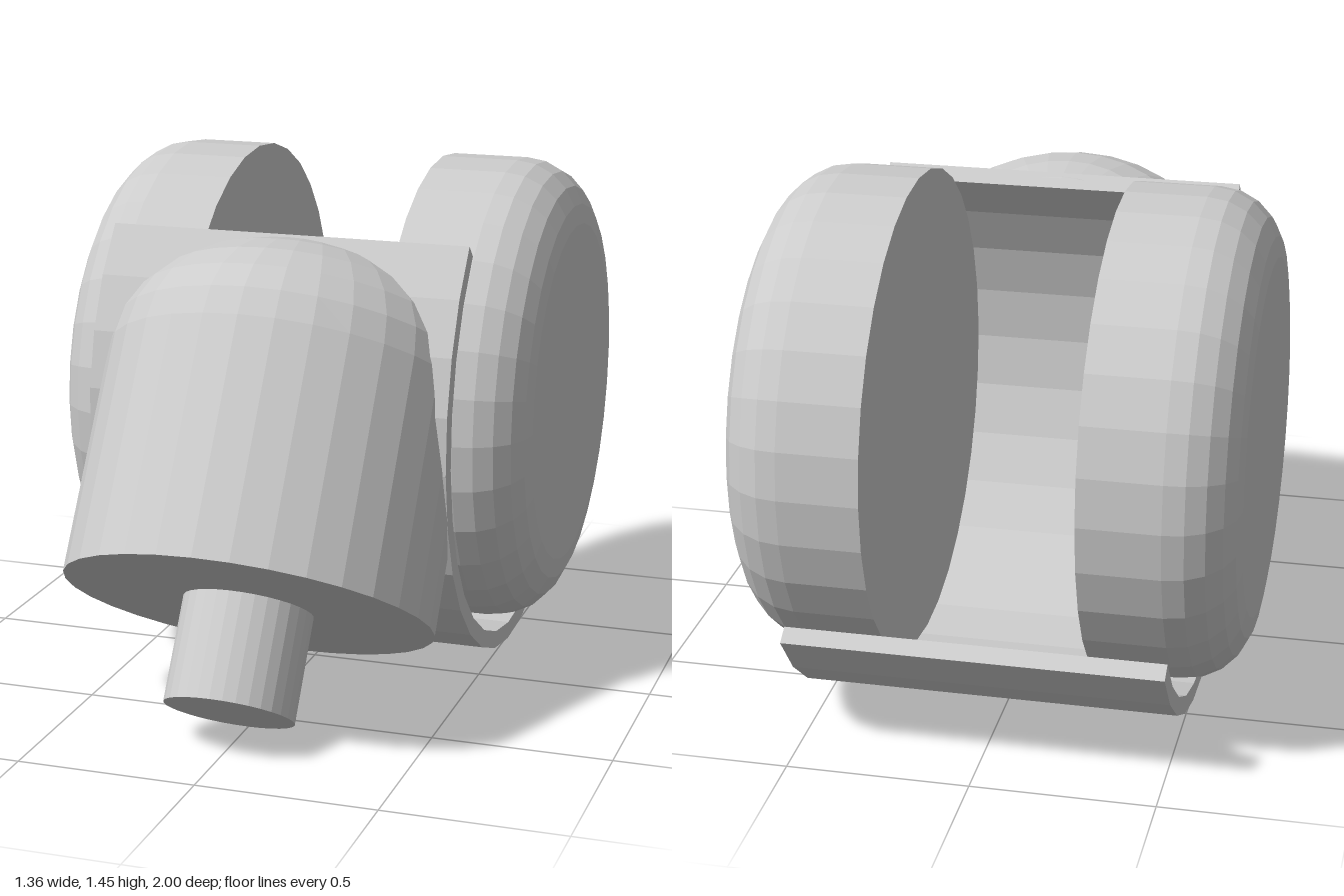
import * as THREE from 'three';

const WHEEL_Y = 0.78, WHEEL_Z = -0.33, WHEEL_R = 0.67;
const TILT = THREE.MathUtils.degToRad(33);
const material = new THREE.MeshStandardMaterial({ color: 0xcccccc, flatShading: true });

function part(name, geometry) {
  const mesh = new THREE.Mesh(geometry, material);
  mesh.name = name;
  return mesh;
}

// Cut away the part of a closed shell lying within `radius` of a line parallel to x
function clipOutsideBore(geometry, y, z, radius) {
  const pos = geometry.toNonIndexed().getAttribute('position');
  const depth = (p) => Math.hypot(p.y - y, p.z - z) - radius;
  const out = [];
  for (let i = 0; i < pos.count; i += 3) {
    const tri = [0, 1, 2].map((k) => new THREE.Vector3().fromBufferAttribute(pos, i + k));
    const poly = [];
    tri.forEach((a, k) => {
      const b = tri[(k + 1) % 3], da = depth(a), db = depth(b);
      if (da >= 0) poly.push(a);
      if (da * db < 0) poly.push(a.clone().lerp(b, da / (da - db)));
    });
    for (let k = 1; k + 1 < poly.length; k++) {
      for (const p of [poly[0], poly[k], poly[k + 1]]) out.push(p.x, p.y, p.z);
    }
  }
  const clipped = new THREE.BufferGeometry();
  clipped.setAttribute('position', new THREE.Float32BufferAttribute(out, 3));
  clipped.computeVertexNormals();
  return clipped;
}

// Disc with a sharp inner rim and a rounded outer rim
function wheelGeometry() {
  const width = 0.4, round = 0.18;
  const profile = [new THREE.Vector2(0, 0), new THREE.Vector2(WHEEL_R, 0)];
  for (let i = 0; i <= 5; i++) {
    const a = (i / 5) * Math.PI / 2;
    profile.push(new THREE.Vector2(
      WHEEL_R - round + round * Math.cos(a), width - round + round * Math.sin(a)));
  }
  profile.push(new THREE.Vector2(0, width));
  return new THREE.LatheGeometry(profile, 32).rotateZ(-Math.PI / 2);
}

// Curved guard wrapped around the front and underside of the wheels
function fenderGeometry() {
  const start = THREE.MathUtils.degToRad(43.5), end = THREE.MathUtils.degToRad(-146.7);
  const shape = new THREE.Shape();
  shape.absarc(0, 0, 0.77, start, end, true);
  shape.absarc(0, 0, 0.72, end, start, false);
  return new THREE.ExtrudeGeometry(shape, { depth: 1.024, bevelEnabled: false, curveSegments: 8 })
    .translate(0, 0, -0.512)
    .rotateY(-Math.PI / 2);
}

// Domed barrel, in its own frame with the axis along y
function housingGeometry() {
  const radius = 0.512, straight = 0.66, dome = 0.37;
  const profile = [new THREE.Vector2(0, 0)];
  for (let i = 0; i <= 8; i++) profile.push(new THREE.Vector2(radius, straight * i / 8));
  for (let i = 1; i <= 7; i++) {
    const a = (i / 7) * Math.PI / 2;
    profile.push(new THREE.Vector2(
      i === 7 ? 0 : radius * Math.cos(a), straight + dome * Math.sin(a)));
  }
  return new THREE.LatheGeometry(profile, 32);
}

export function createModel() {
  const model = new THREE.Group();
  model.name = 'casterWheel';

  // Pair of wheels
  for (const side of [1, -1]) {
    const wheel = part(side > 0 ? 'leftWheel' : 'rightWheel', wheelGeometry());
    wheel.position.set(side * 0.28, WHEEL_Y, WHEEL_Z);
    if (side < 0) wheel.rotation.y = Math.PI;
    model.add(wheel);
  }

  // Fender
  const fender = part('fender', fenderGeometry());
  fender.position.set(0, WHEEL_Y, WHEEL_Z);
  model.add(fender);

  // Tilted swivel: housing ending inside the fender, and the mounting stem
  const swivel = new THREE.Group();
  swivel.name = 'swivel';
  swivel.position.set(0, 0.3475, 0.5725);
  swivel.rotation.x = -TILT;
  swivel.updateMatrix();
  const axle = new THREE.Vector3(0, WHEEL_Y, WHEEL_Z).applyMatrix4(swivel.matrix.clone().invert());
  swivel.add(part('housing', clipOutsideBore(housingGeometry(), axle.y, axle.z, 0.75)));

  const stem = part('stem', new THREE.CylinderGeometry(0.18, 0.18, 0.35, 32));
  stem.position.y = -0.12;
  swivel.add(stem);
  model.add(swivel);

  return model;
}
